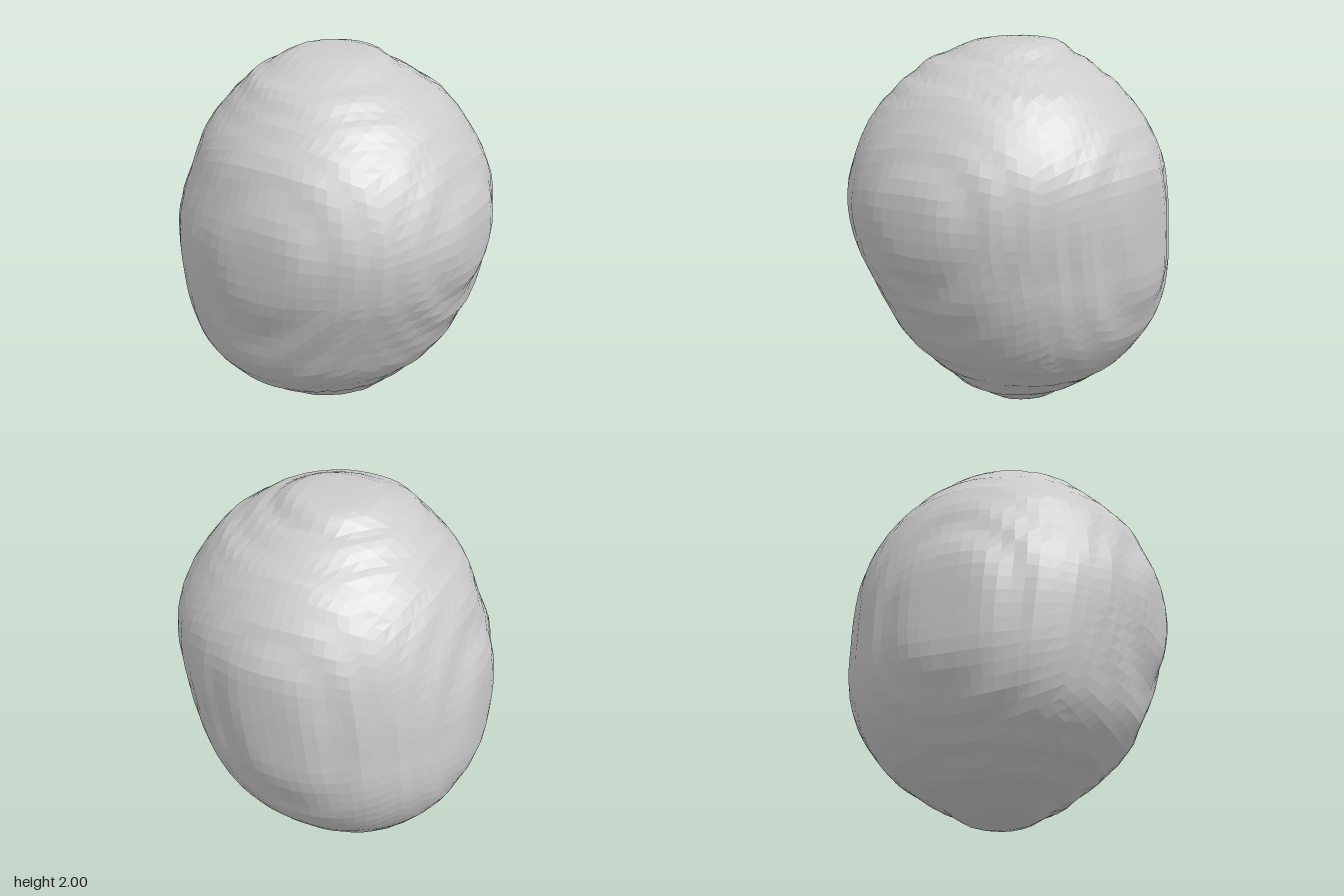
import * as THREE from 'three';

// Outline by height: [y, x min, x max, z min, z max]
const OUTLINE = [
  [0.03, -0.27, 0.12, -0.21, 0.16], [0.1, -0.45, 0.26, -0.34, 0.31], [0.2, -0.59, 0.38, -0.5, 0.47],
  [0.4, -0.755, 0.58, -0.68, 0.67], [0.6, -0.835, 0.695, -0.775, 0.745], [0.8, -0.86, 0.78, -0.825, 0.795],
  [1.0, -0.86, 0.84, -0.84, 0.83], [1.2, -0.83, 0.86, -0.84, 0.84], [1.4, -0.765, 0.815, -0.815, 0.8],
  [1.6, -0.68, 0.71, -0.71, 0.72], [1.76, -0.55, 0.58, -0.57, 0.58], [1.92, -0.36, 0.33, -0.33, 0.37],
  [1.98, -0.21, 0.18, -0.22, 0.16],
];

// Ring centres, and radii relative to a unit sphere, blended smoothly over the height
const RINGS = new THREE.CubicInterpolant(
  new Float32Array(OUTLINE.map((row) => row[0])),
  new Float32Array(OUTLINE.flatMap(([y, x0, x1, z0, z1]) => {
    const unit = Math.sqrt(1 - (y - 1) ** 2);
    return [(x0 + x1) / 2, (x1 - x0) / 2 / unit, (z0 + z1) / 2, (z1 - z0) / 2 / unit];
  })),
  4,
);

// Corners of the plan that are fuller or flatter, high up or low down
function cornerScale({ x, y, z }) {
  const same = Math.max(x * z, 0), opposite = Math.max(-x * z, 0);
  const low = Math.max(-y - 0.1, 0), high = Math.max(y - 0.1, 0);
  let scale = 1 - 0.25 * same * Math.sign(x) * low;
  if (x > 0) scale += 0.07 * x * z + 0.3 * opposite * low;
  else scale -= 0.15 * opposite * high;
  return scale;
}

// Worn terraces: each side steps back from its outermost point in shallow layers
const MIDDLE = new THREE.Vector3(0, 1, 0);
const REACH = { x: 0.86, y: 1, z: 0.84 };
const LAYER = 0.105;

function addTerraces(p) {
  const rel = p.clone().sub(MIDDLE);
  const dir = rel.clone().normalize();
  for (const axis of ['x', 'y', 'z']) {
    const depth = REACH[axis] - Math.abs(rel[axis]);
    const step = 0.012 * dir[axis] ** 4 * Math.sin((2 * Math.PI * depth) / LAYER);
    p[axis] += Math.sign(rel[axis]) * step;
  }
}

// Even grid of facets on a cube, rounded into a sphere and then shaped
function boulderGeometry(cells = 20) {
  const geo = new THREE.BoxGeometry(2, 2, 2, cells, cells, cells);
  const pos = geo.attributes.position;
  const p = new THREE.Vector3();
  const even = (v) => Math.tan((v * Math.PI) / 4);
  for (let i = 0; i < pos.count; i++) {
    p.fromBufferAttribute(pos, i);
    p.set(even(p.x), even(p.y), even(p.z)).normalize();
    const [cx, rx, cz, rz] = RINGS.evaluate(p.y + 1);
    const s = cornerScale(p);
    p.set(cx + p.x * rx * s, p.y + 1, cz + p.z * rz * s);
    addTerraces(p);
    pos.setXYZ(i, p.x, p.y, p.z);
  }
  geo.computeVertexNormals();
  return geo;
}

export function createModel() {
  const group = new THREE.Group();
  group.name = 'rock';
  const stone = new THREE.MeshStandardMaterial({ color: 0xcccccc, flatShading: true });
  const boulder = new THREE.Mesh(boulderGeometry(), stone);
  boulder.name = 'boulder';
  group.add(boulder);
  return group;
}
